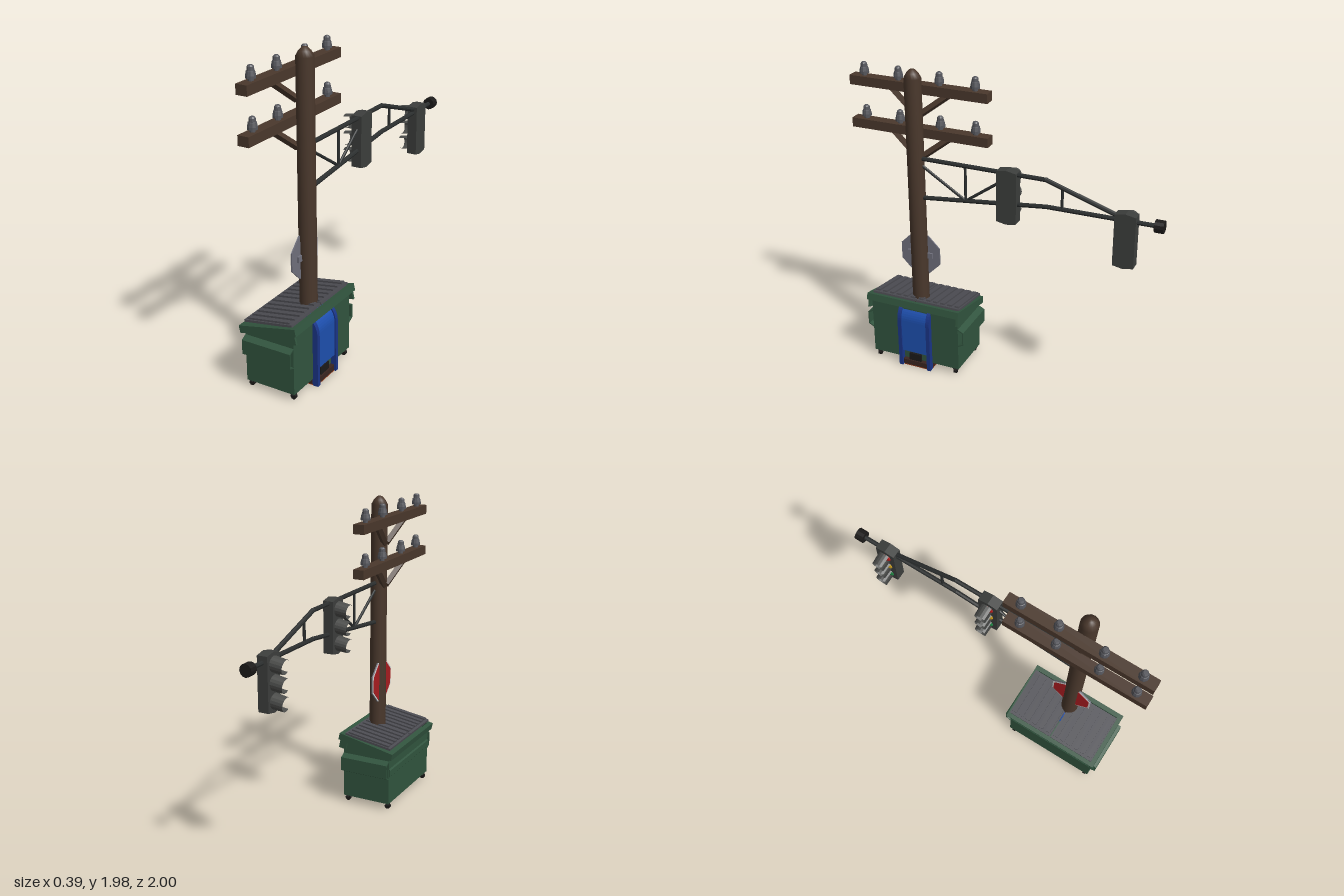
import * as THREE from 'three';

const mat = (color, side = THREE.FrontSide) => new THREE.MeshStandardMaterial({ color, side, flatShading: true });
const WOOD = mat(0x4a382c), GREEN = mat(0x31543e), DARK = mat(0x2b2e2e), LID = mat(0x4c4c52);
const BLUE = mat(0x1d4fae), NAVY = mat(0x1a3587), GLASS = mat(0x55565c), BLACK = mat(0x1c1a19);
const HOUSING = mat(0x3c3e3c), VISOR = mat(0x4b4c4a, THREE.DoubleSide), STEEL = mat(0x70707c);
const V = (x, y, z) => new THREE.Vector3(x, y, z);
const PX = 0.06, PZ = 0.545; // pole axis

function add(parent, name, geo, material, x = 0, y = 0, z = 0) {
  const m = new THREE.Mesh(geo, material);
  m.name = name;
  m.position.set(x, y, z);
  parent.add(m);
  return m;
}
const box = (p, n, m, w, h, d, x, y, z) => add(p, n, new THREE.BoxGeometry(w, h, d), m, x, y, z);

function group(parent, name) {
  const g = new THREE.Group();
  g.name = name;
  parent.add(g);
  return g;
}

// straight round bar between two points
function bar(p, name, a, b, r, material, sides = 8) {
  const d = b.clone().sub(a);
  const m = add(p, name, new THREE.CylinderGeometry(r, r, d.length(), sides), material);
  m.position.copy(a).lerp(b, 0.5);
  m.quaternion.setFromUnitVectors(V(0, 1, 0), d.normalize());
  return m;
}

const shapeOf = (pts) => new THREE.Shape(pts.map(([x, y]) => new THREE.Vector2(x, y)));
const extrude = (shape, depth, curveSegments = 8) =>
  new THREE.ExtrudeGeometry(shape, { depth, bevelEnabled: false, curveSegments });

// extrusion running along +x; the profile is given as (-z, y)
const extrudeX = (shape, depth) => extrude(shape, depth).rotateY(Math.PI / 2);

function buildPole(root) {
  const g = group(root, 'utilityPole');
  const profile = [[0, 0.05], [0.054, 0.05], [0.052, 1.925], [0.035, 1.955], [0.015, 1.975], [0, 1.976]];
  const pole = add(g, 'pole', new THREE.LatheGeometry(profile.map(([r, y]) => new THREE.Vector2(r, y)), 16),
    WOOD.clone(), PX, 0, PZ);
  pole.material.flatShading = false;
  const insulator = new THREE.LatheGeometry([[0, 0], [0.016, 0], [0.016, 0.014], [0.029, 0.014], [0.029, 0.028],
    [0.024, 0.052], [0.021, 0.054], [0.019, 0.074], [0.012, 0.082], [0, 0.082]]
    .map(([r, y]) => new THREE.Vector2(r, y)), 10);
  for (const y of [1.84, 1.57]) {
    box(g, 'crossarm', WOOD, 0.07, 0.058, 0.905, -0.025, y, PZ + 0.002);
    for (const z of [0.915, 0.685, 0.415, 0.185]) add(g, 'insulator', insulator, GLASS, -0.025, y + 0.029, z);
    for (const s of [-1, 1])
      bar(g, 'crossarmBrace', V(-0.025, y - 0.015, PZ + s * 0.2), V(0.015, y - 0.155, PZ + s * 0.015), 0.022, WOOD, 4);
  }
}

function buildSignalArm(root) {
  const g = group(root, 'signalArm');
  const x = 0.065, P = (z, y) => V(x, y, z);
  const upper = [P(0.51, 1.43), P(-0.295, 1.43), P(-0.78, 1.27)];
  const lower = [P(0.51, 1.173), P(-0.3, 1.262), P(-0.96, 1.267)];
  for (const path of [upper, lower])
    for (let i = 0; i < 2; i++) {
      bar(g, 'armTube', path[i], path[i + 1], 0.014, DARK);
      add(g, 'armJoint', new THREE.SphereGeometry(0.014, 8, 6), DARK, x, path[i + 1].y, path[i + 1].z);
    }
  // truss members
  bar(g, 'strut', P(0.215, 1.205), P(0.215, 1.43), 0.009, DARK);
  bar(g, 'strut', P(0.51, 1.39), P(0.215, 1.205), 0.009, DARK);
  bar(g, 'strut', P(0.215, 1.205), P(-0.09, 1.425), 0.009, DARK);
  bar(g, 'strut', P(-0.395, 1.265), P(-0.395, 1.4), 0.009, DARK);
  add(g, 'endCap', new THREE.CylinderGeometry(0.038, 0.038, 0.053, 12).rotateX(Math.PI / 2), BLACK, x, 1.267, -0.973);
  buildTrafficLight(g, 1.285, -0.058);
  buildTrafficLight(g, 1.145, -0.78);
}

function buildTrafficLight(parent, y, z) {
  const g = group(parent, 'trafficLight');
  g.position.set(0, y, z);
  // housing with slightly peaked ends
  const s = shapeOf([[-0.063, -0.16], [0, -0.172], [0.063, -0.16], [0.063, 0.16], [0, 0.172], [-0.063, 0.16]]);
  add(g, 'housing', extrudeX(s, 0.065), HOUSING, 0.03);
  [0xb32020, 0xc79a1c, 0x1f8a45].forEach((color, i) => {
    const unit = group(g, 'lamp');
    unit.position.set(0.03, 0.105 - i * 0.105, 0);
    add(unit, 'lens', new THREE.SphereGeometry(0.038, 12, 6, 0, Math.PI * 2, 0, Math.PI / 2)
      .scale(1, 0.3, 1).rotateZ(Math.PI / 2), mat(color));
    // hood open at the front and underneath
    const hood = new THREE.CylinderGeometry(0.043, 0.046, 0.078, 12, 1, true, -Math.PI * 0.22, Math.PI * 1.44)
      .rotateY(Math.PI / 2).rotateZ(Math.PI / 2);
    add(unit, 'visor', hood, VISOR, -0.036, -0.004, 0).rotation.z = 0.14;
  });
}

function buildSign(root) {
  const g = group(root, 'octagonSign');
  g.position.set(0.038, 0.77, PZ + 0.002);
  const plate = (name, r, t, material, x) => add(g, name,
    new THREE.CylinderGeometry(r, r, t, 8).rotateY(Math.PI / 8).rotateZ(Math.PI / 2), material, x);
  plate('signPlate', 0.144, 0.008, STEEL, 0);
  plate('signBorder', 0.143, 0.003, mat(0xcccccc), -0.005);
  plate('signFace', 0.132, 0.003, mat(0xa81c20), -0.007);
  box(g, 'signBracket', STEEL, 0.014, 0.036, 0.17, 0.01, 0, 0);
}

function buildDumpster(root) {
  const g = group(root, 'dumpster');
  const zc = 0.55;
  add(g, 'body', extrude(shapeOf([[-0.17, 0.045], [0.155, 0.045], [0.155, 0.43], [-0.17, 0.365]]), 0.61), GREEN, 0, 0, 0.245);
  // sloping rim frame
  const rim = group(g, 'rim');
  rim.position.set(-0.007, 0.419, zc + 0.002);
  rim.rotation.z = 0.21;
  for (const s of [-1, 1]) {
    box(rim, 'rimSide', GREEN, 0.385, 0.045, 0.03, 0, 0, s * 0.308);
    box(rim, 'rimEdge', GREEN, 0.03, 0.045, 0.646, s * 0.178, 0, 0);
    box(rim, 'rimCorner', GREEN, 0.05, 0.06, 0.014, 0.155, -0.045, s * 0.312);
  }
  // two ribbed lids
  const lids = group(g, 'lids');
  lids.position.set(-0.018, 0.452, zc - 0.005);
  lids.rotation.z = 0.16;
  for (const s of [-1, 1]) {
    box(lids, 'lid', LID, 0.325, 0.014, 0.3, 0, 0, s * 0.154);
    for (let i = 0; i < 6; i++) box(lids, 'lidRib', LID, 0.29, 0.014, 0.03, 0, 0.011, s * (0.03 + i * 0.05));
  }
  // hollow lifting pockets on both ends
  const pocket = shapeOf([[0, 0.215], [0.038, 0.235], [0.038, 0.325], [0, 0.345]]);
  pocket.holes.push(new THREE.Path([[0, 0.224], [0.03, 0.24], [0.03, 0.32], [0, 0.336]]
    .map(([a, b]) => new THREE.Vector2(a + 0.001, b))));
  for (const s of [-1, 1]) {
    const p = add(g, 'liftPocket', extrudeX(pocket, 0.325), GREEN, s < 0 ? -0.17 : 0.155, 0, zc + s * 0.304);
    if (s > 0) p.rotation.y = Math.PI;
  }
  // raised band along the front wall
  add(g, 'frontBand', extrude(shapeOf([[-0.169, 0.23], [-0.169, 0.29], [-0.178, 0.28], [-0.178, 0.24]]), 0.6), GREEN, 0, 0, 0.25);
  // casters
  for (const x of [-0.152, 0.135])
    for (const z of [0.275, 0.828]) {
      add(g, 'casterWheel', new THREE.CylinderGeometry(0.018, 0.018, 0.02, 10).rotateX(Math.PI / 2), BLACK, x, 0.02, z);
      box(g, 'casterFork', DARK, 0.018, 0.025, 0.028, x, 0.04, z);
    }
}

function buildCollectionBox(root) {
  const g = group(root, 'blueBox');
  const arch = (r, bottom) => {
    const s = new THREE.Shape();
    s.moveTo(-r, bottom);
    s.lineTo(r, bottom);
    s.lineTo(r, 0.335);
    s.absarc(0, 0.335, r, 0, Math.PI, false);
    return s;
  };
  add(g, 'archedBody', extrude(arch(0.12, 0.11), 0.2, 12), BLUE, PX, 0, PZ - 0.1);
  for (const s of [-1, 1]) {
    const z = PZ + s * 0.1;
    add(g, 'sideFrame', extrude(arch(0.128, 0.1), 0.025, 12), NAVY, PX, 0, z - 0.0125);
    for (const x of [-0.05, 0.17]) box(g, 'leg', NAVY, 0.036, 0.11, 0.025, x, 0.055, z);
  }
  // slab and block between the legs
  const slab = (w, d, c) => shapeOf([[-w, -d + c], [-w + c, -d], [w - c, -d], [w, -d + c],
    [w, d - c], [w - c, d], [-w + c, d], [-w, d - c]]);
  const flat = (t) => extrude(slab(0.118, 0.112, 0.03), t).rotateX(-Math.PI / 2);
  add(g, 'slabUnderside', flat(0.006), mat(0x9a3d1c), PX, 0.001, PZ);
  add(g, 'slab', flat(0.034), mat(0x3a2520), PX, 0.007, PZ);
  box(g, 'block', BLACK, 0.2, 0.07, 0.085, PX + 0.01, 0.055, PZ + 0.005);
}

export function createModel() {
  const root = new THREE.Group();
  root.name = 'streetCorner';
  for (const build of [buildPole, buildSignalArm, buildSign, buildDumpster, buildCollectionBox]) build(root);
  return root;
}
